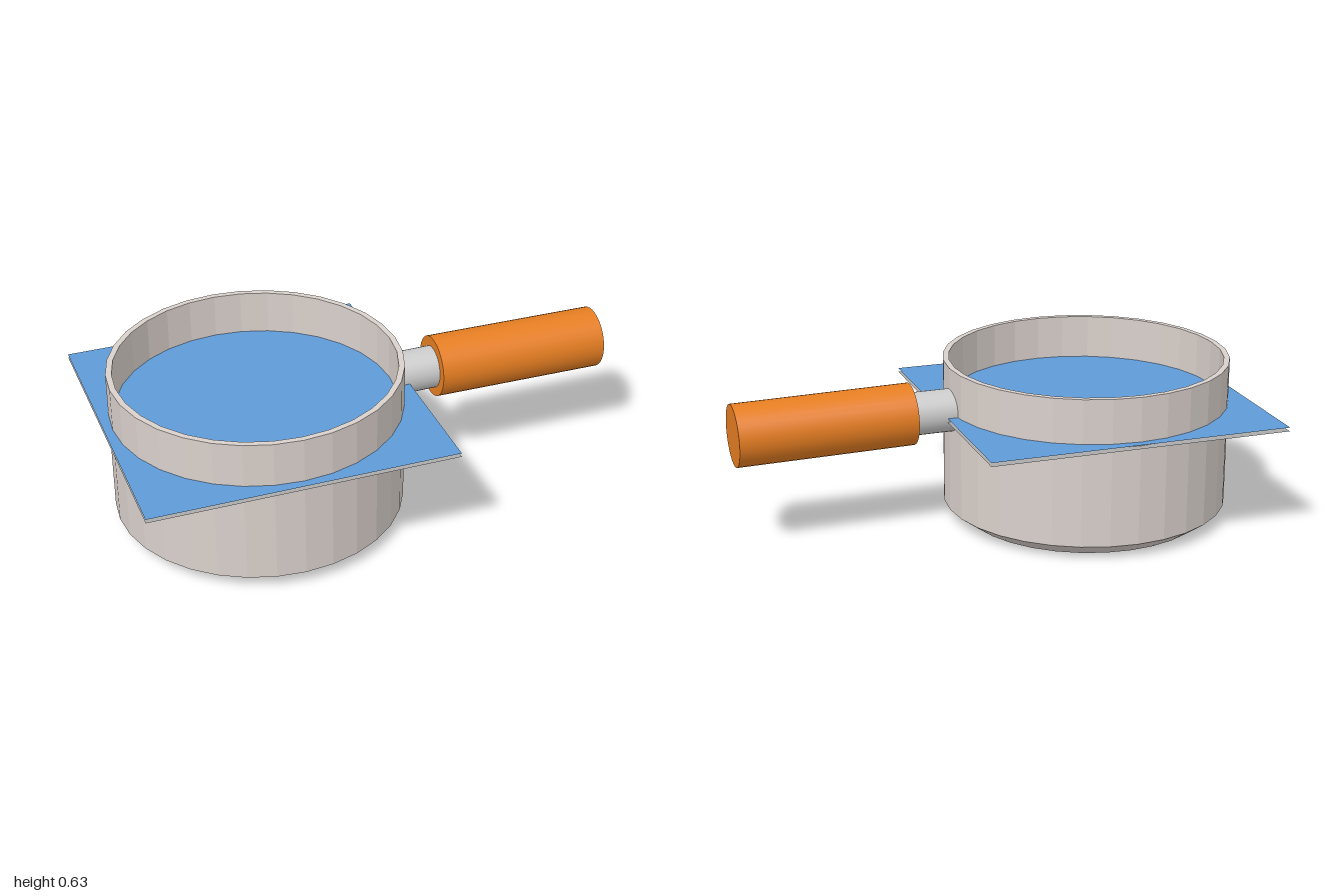
import * as THREE from 'three';

const PAN_X = -0.408;
const SEGMENTS = 32;

const paint = (color, extra = {}) => new THREE.MeshStandardMaterial({ color, ...extra });

function add(group, name, geometry, material) {
  const mesh = new THREE.Mesh(geometry, material);
  mesh.name = name;
  group.add(mesh);
  return mesh;
}

// Cylinder whose axis runs from one point to another
function rod(group, name, from, to, radius, material) {
  const axis = to.clone().sub(from);
  const mesh = add(group, name, new THREE.CylinderGeometry(radius, radius, axis.length(), SEGMENTS), material);
  mesh.position.copy(from).addScaledVector(axis, 0.5);
  mesh.quaternion.setFromUnitVectors(new THREE.Vector3(0, 1, 0), axis.normalize());
  return mesh;
}

export function createModel() {
  const model = new THREE.Group();
  model.name = 'saucepan';

  // Open pan: chamfered base, straight wall, thin flat rim, hollow inside
  const profile = [
    [0, 0], [0.485, 0], [0.56, 0.055], [0.56, 0.635],
    [0.537, 0.635], [0.537, 0.065], [0.475, 0.02], [0, 0.02],
  ].map(([r, y]) => new THREE.Vector2(r, y));
  const pan = add(model, 'pan', new THREE.LatheGeometry(profile, SEGMENTS),
    paint(0xd9d0cb, { flatShading: true }));
  pan.position.x = PAN_X;

  // Square liquid surface, with a grey underside just below it
  const sheets = [['liquidSurface', 0.462, 0x5f9ad8], ['liquidUnderside', 0.447, 0xaaaaaa]];
  for (const [name, y, color] of sheets) {
    const sheet = add(model, name, new THREE.PlaneGeometry(1.185, 1.185).rotateX(-Math.PI / 2),
      paint(color, { side: THREE.DoubleSide }));
    sheet.position.set(PAN_X, y, 0);
  }

  // Metal neck joining the wall to the handle
  rod(model, 'handleNeck', new THREE.Vector3(0.135, 0.468, 0),
    new THREE.Vector3(0.33, 0.468, -0.002), 0.083, paint(0xcccccc));

  // Coloured grip, tilted very slightly
  rod(model, 'handleGrip', new THREE.Vector3(0.309, 0.47, -0.002),
    new THREE.Vector3(0.998, 0.461, -0.008), 0.12, paint(0xe67e22));

  return model;
}
